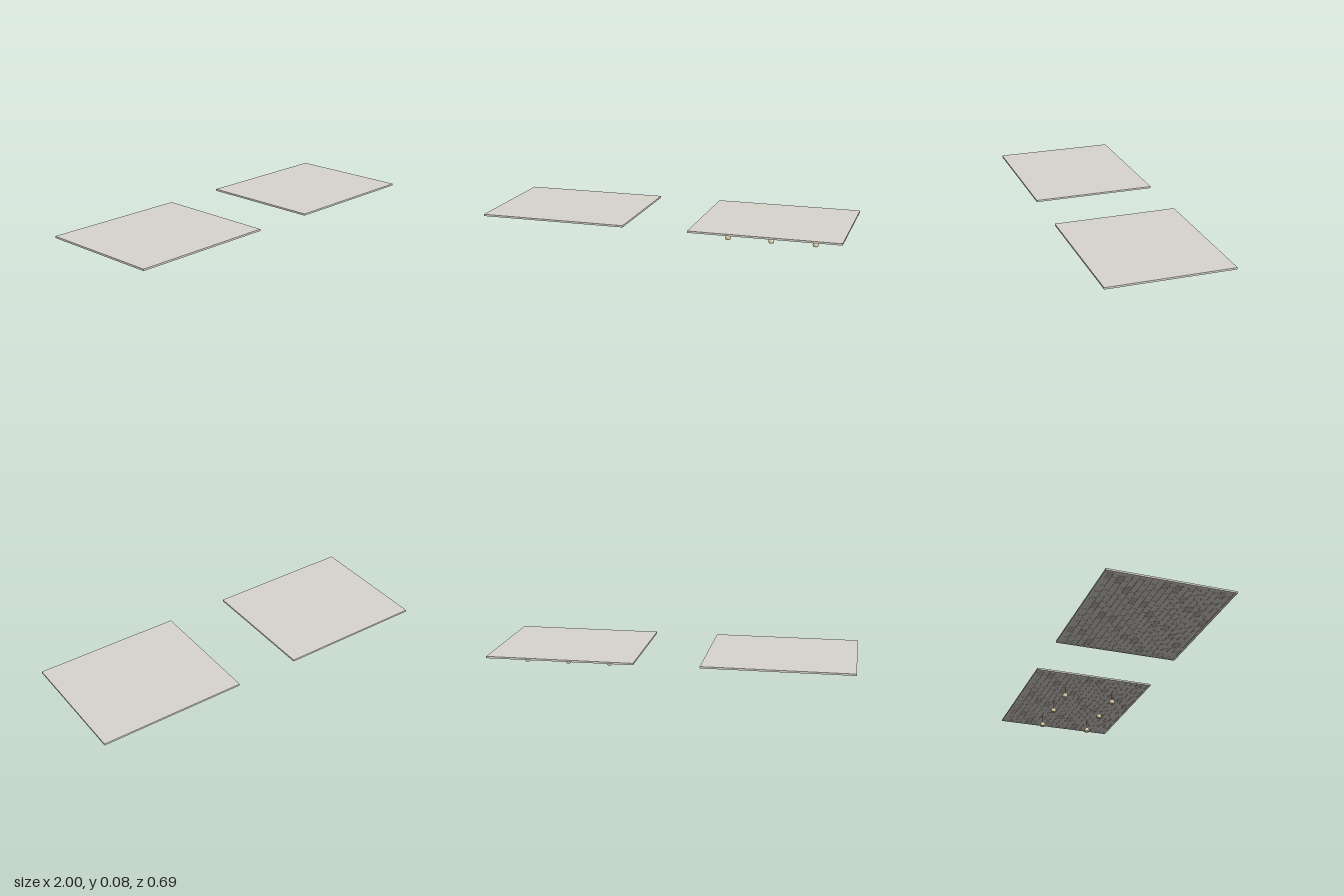
import * as THREE from 'three';
import { mergeGeometries } from 'three/addons/utils/BufferGeometryUtils.js';

const mat = (name, color) => {
  const m = new THREE.MeshStandardMaterial({ color });
  m.name = name;
  return m;
};

const box = (x0, x1, y0, y1, z0, z1) =>
  new THREE.BoxGeometry(x1 - x0, y1 - y0, z1 - z0)
    .translate((x0 + x1) / 2, (y0 + y1) / 2, (z0 + z1) / 2);

const W = 0.82, D = 0.69, RIM = 0.014;   // panel width, depth and rim
const BOTTOM = 0.07, TOP = 0.08;

export function createModel() {
  const model = new THREE.Group();
  model.name = 'ceilingPanels';

  const plaster = mat('pale plaster', 0xd7d4cc);
  const tileGrey = mat('tile grey', 0xcfcdc8);
  const tileBrown = mat('tile warm grey', 0xb9b2a4);
  const shadeCream = mat('shade cream', 0xead8b0);
  const glowCream = mat('lamp opening cream', 0xfff0c8);
  const cordGrey = mat('cord grey', 0x8f8a80);

  const add = (parent, name, geometry, material) => {
    const mesh = new THREE.Mesh(geometry, material);
    mesh.name = name;
    parent.add(mesh);
    return mesh;
  };

  // Slab with a shallow rim around its underside
  const hw = W / 2, hd = D / 2;
  const slab = box(-hw, hw, BOTTOM + 0.003, TOP, -hd, hd);
  const rim = mergeGeometries([
    box(-hw, hw, BOTTOM, BOTTOM + 0.003, hd - RIM, hd),
    box(-hw, hw, BOTTOM, BOTTOM + 0.003, -hd, -hd + RIM),
    box(-hw, -hw + RIM, BOTTOM, BOTTOM + 0.003, -hd + RIM, hd - RIM),
    box(hw - RIM, hw, BOTTOM, BOTTOM + 0.003, -hd + RIM, hd - RIM),
  ]);

  // Staggered tiles in rows, in two tones
  const tiles = [[], []];
  const rows = 20, length = 0.066, gap = 0.0015;
  const left = -hw + RIM, right = hw - RIM, back = -hd + RIM;
  const step = (D - 2 * RIM) / rows;
  for (let r = 0; r < rows; r++) {
    const z = back + r * step;
    for (let i = 0, x = left - (r % 3) * length / 3; x < right; i++, x += length) {
      const x0 = Math.max(x, left) + gap / 2;
      const x1 = Math.min(x + length, right) - gap / 2;
      if (x1 - x0 < 0.004) continue;
      const low = BOTTOM + 0.001 + ((r * 5 + i * 3) % 4) * 0.0003;
      tiles[(r * 7 + i * 4) % 9 === 0 ? 1 : 0]
        .push(box(x0, x1, low, BOTTOM + 0.003, z + gap / 2, z + step - gap / 2));
    }
  }
  const greyTiles = mergeGeometries(tiles[0]);
  const brownTiles = mergeGeometries(tiles[1]);

  for (const side of [-1, 1]) {
    const panel = new THREE.Group();
    panel.name = side > 0 ? 'leftPanel' : 'rightPanel';
    panel.position.x = side * (1 - hw);
    add(panel, 'slab', slab, plaster);
    add(panel, 'rim', rim, plaster);
    add(panel, 'greyTiles', greyTiles, tileGrey);
    add(panel, 'brownTiles', brownTiles, tileBrown);
    model.add(panel);
  }

  // Pendant lamps: domed shade, pale opening underneath and a thin cord
  const profile = [
    [0.0135, 0.0015], [0.0152, 0.006], [0.0158, 0.012], [0.0148, 0.0175],
    [0.0122, 0.0225], [0.008, 0.0265], [0.004, 0.0283], [0, 0.029],
  ].map(([r, y]) => new THREE.Vector2(r, y));
  const shade = new THREE.LatheGeometry(profile, 20);
  const opening = new THREE.CylinderGeometry(0.0135, 0.013, 0.0015, 20).translate(0, 0.00075, 0);
  const cord = new THREE.CylinderGeometry(0.001, 0.001, 0.043, 16).translate(0, 0.0495, 0);
  for (const x of [0.36, 0.597, 0.835]) {
    for (const z of [-0.124, 0.167]) {
      const lamp = new THREE.Group();
      lamp.name = 'pendantLamp';
      lamp.position.set(x, 0, z);
      add(lamp, 'shade', shade, shadeCream);
      add(lamp, 'opening', opening, glowCream);
      add(lamp, 'cord', cord, cordGrey);
      model.add(lamp);
    }
  }
  return model;
}
